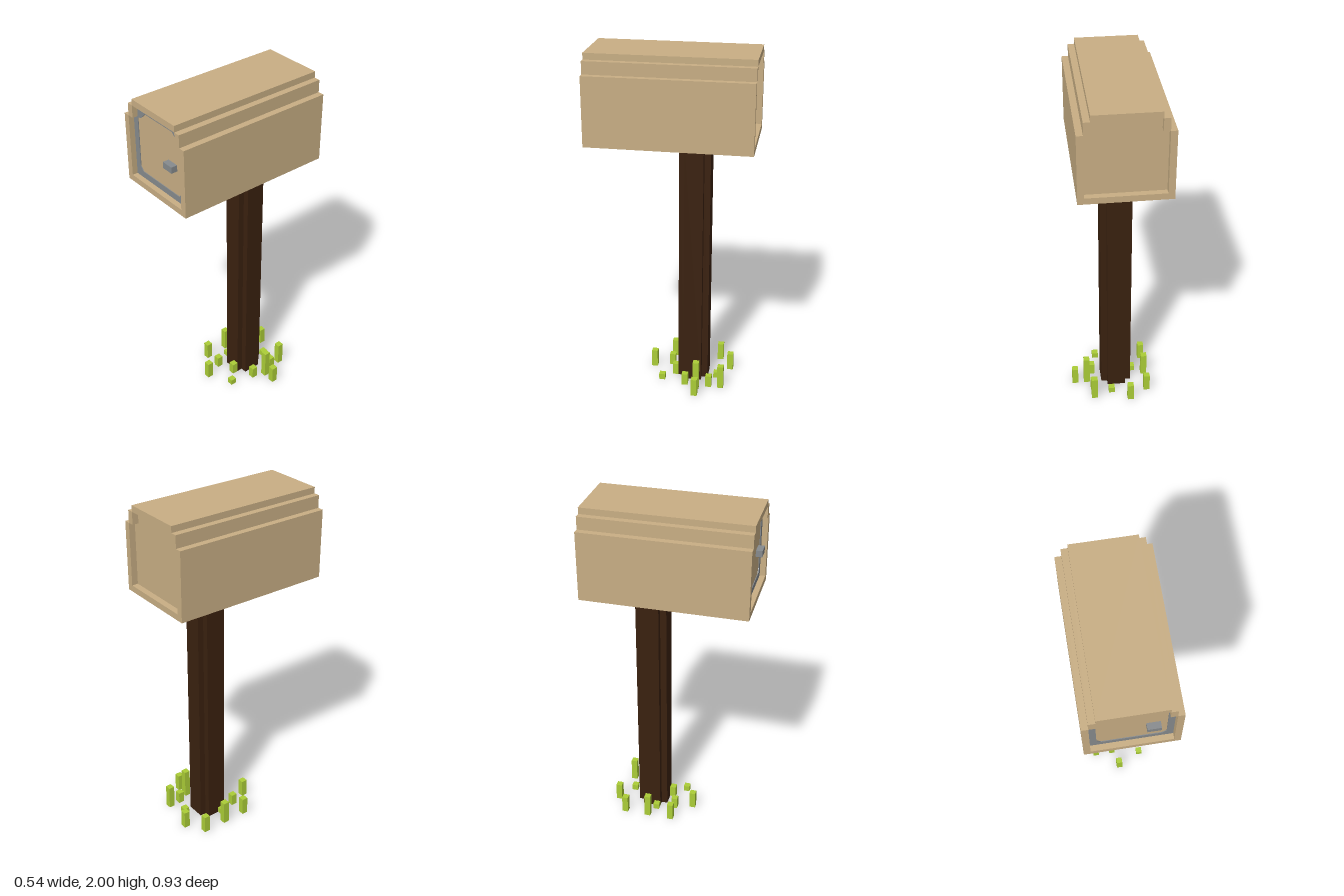
import * as THREE from 'three';

const UNIT = 1 / 28; // edge of one block

const material = (name, color) => {
  const m = new THREE.MeshStandardMaterial({ color });
  m.name = name;
  return m;
};

export function createModel() {
  const tan = material('tan', 0xc8ae84);
  const gray = material('gray', 0x868a8d);
  const bark = material('dark wood', 0x3a210f);
  const green = material('grass green', 0xabcd37);

  const model = new THREE.Group();
  model.name = 'mailbox';
  // everything below is laid out on a block grid, then scaled and centred
  const grid = new THREE.Group();
  grid.name = 'blocks';
  grid.scale.setScalar(UNIT);
  grid.position.set(-7.5 * UNIT, 0, -13 * UNIT);
  model.add(grid);

  const add = (name, geometry, mat) => {
    const mesh = new THREE.Mesh(geometry, mat);
    mesh.name = name;
    grid.add(mesh);
    return mesh;
  };
  // box from its lowest to its highest grid corner
  const block = (name, mat, [x0, y0, z0], [x1, y1, z1]) =>
    add(name, new THREE.BoxGeometry(x1 - x0, y1 - y0, z1 - z0), mat)
      .position.set((x0 + x1) / 2, (y0 + y1) / 2, (z0 + z1) / 2);
  const outline = (points) => new THREE.Shape(points.map(([x, y]) => new THREE.Vector2(x, y)));
  const extrude = (shape, depth) => new THREE.ExtrudeGeometry(shape, { depth, bevelEnabled: false });

  // post: square with notched corners
  const post = extrude(outline([
    [6, -7], [6, -8], [5, -8], [5, -11], [6, -11], [6, -12],
    [9, -12], [9, -11], [10, -11], [10, -8], [9, -8], [9, -7],
  ]), 42);
  post.rotateX(-Math.PI / 2);
  add('post', post, bark);

  // box shell with stepped roof
  block('floor', tan, [0, 42, 0], [14, 43, 26]);
  block('roof', tan, [2, 55, 0], [12, 56, 26]);
  for (const [side, wallX, stepX] of [['right', 0, 1], ['left', 13, 12]]) {
    block(side + 'Wall', tan, [wallX, 43, 0], [wallX + 1, 53, 26]);
    block(side + 'RoofStep', tan, [stepX, 53, 0], [stepX + 1, 55, 26]);
  }

  // recessed end panels
  const opening = [[1, 43], [13, 43], [13, 53], [12, 53], [12, 55], [2, 55], [2, 53], [1, 53]];
  for (const [name, z] of [['backPanel', 1], ['door', 24]]) {
    add(name, extrude(outline(opening), 1), tan).position.z = z;
  }

  // door trim and handle
  const trim = outline(opening);
  trim.holes.push(outline([
    [2, 44.7], [2, 52.8], [2.8, 53], [3.8, 54], [10.2, 54],
    [11.2, 53], [12, 52.8], [12, 44.7], [11.4, 44], [2.6, 44],
  ]));
  add('doorTrim', extrude(trim, 0.12), gray).position.z = 25;
  block('handle', gray, [9, 48, 25], [11, 49, 26]);

  // grass blades: x, z, height
  const blades = [
    [2, 13, 3], [2, 9, 4], [2, 5, 3], [4, 10, 1], [5, 13, 2], [5, 3, 3], [6, 16, 3],
    [8, 12, 2], [8, 5, 1], [10, 14, 1], [11, 10, 2], [11, 6, 2], [11, 4, 4], [12, 8, 5], [14, 8, 3],
  ];
  for (const [x, z, h] of blades) block('grassBlade', green, [x, 0, z], [x + 1, h, z + 1]);

  return model;
}
